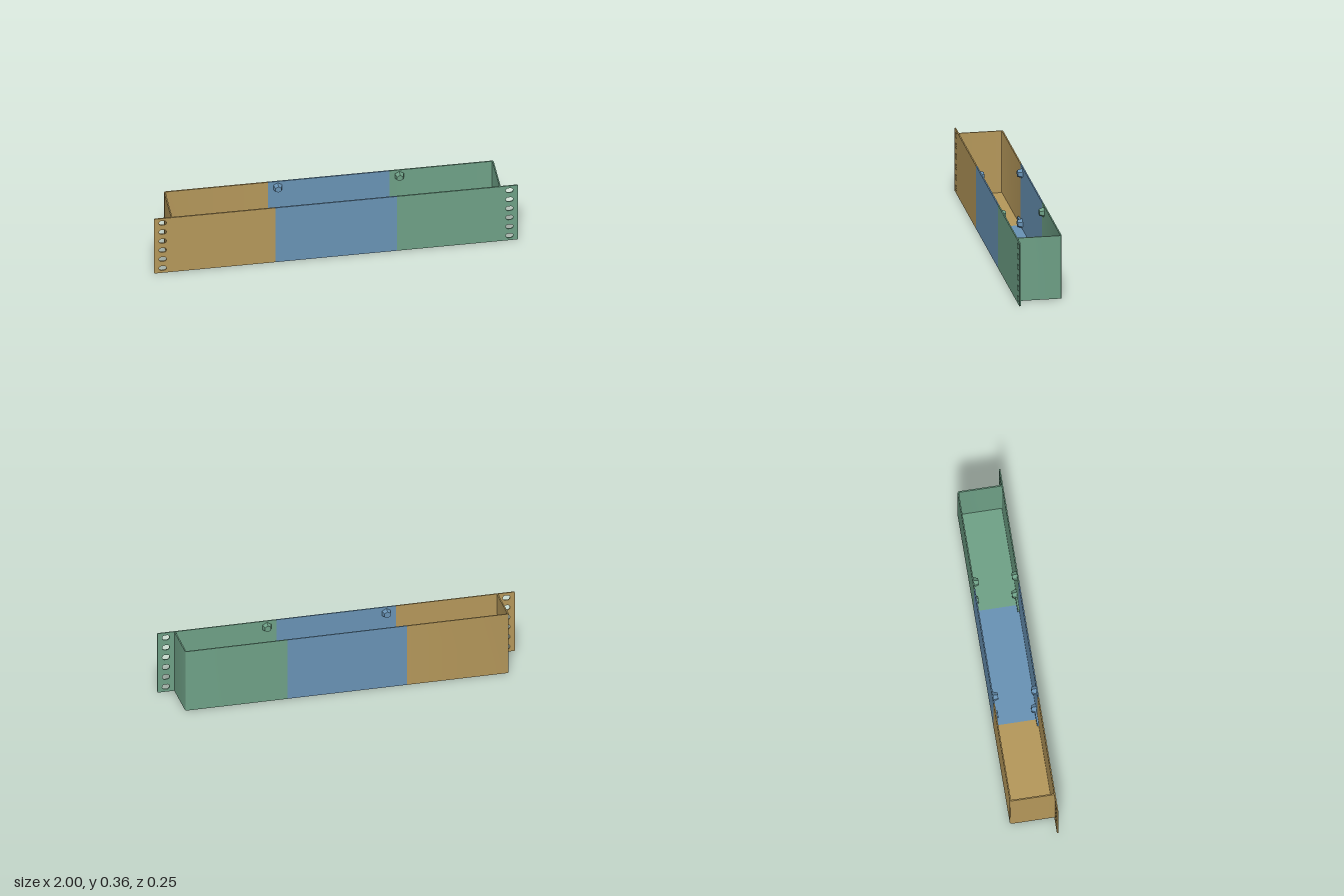
import * as THREE from 'three';
import { toCreasedNormals } from 'three/addons/utils/BufferGeometryUtils.js';

const H = 0.36, T = 0.007, Z = 0.125, BOX = 0.905, SEAM = 0.334, R = 0.012;

const material = (name, color) => {
  const m = new THREE.MeshStandardMaterial({ color });
  m.name = name;
  return m;
};

function add(group, name, geometry, mat, x = 0, y = 0, z = 0) {
  const mesh = new THREE.Mesh(geometry, mat);
  mesh.name = name;
  mesh.position.set(x, y, z);
  group.add(mesh);
  return mesh;
}

// Extrude a plan outline (x, -z) upwards
function extrudeUp(shape, height) {
  const g = new THREE.ExtrudeGeometry(shape, { depth: height, bevelEnabled: false, curveSegments: 6 });
  return toCreasedNormals(g.rotateX(-Math.PI / 2), 0.6);
}

// Flanged front plate with a column of mounting slots
function frontPlate(s) {
  const shape = new THREE.Shape();
  const c = 0.008;
  shape.moveTo(s * SEAM, 0);
  shape.lineTo(s * (1 - c), 0);
  shape.quadraticCurveTo(s, 0, s, c);
  shape.lineTo(s, H - c);
  shape.quadraticCurveTo(s, H, s * (1 - c), H);
  shape.lineTo(s * SEAM, H);
  const r = 0.0145, half = 0.006;
  for (let i = 0; i < 6; i++) {
    const y = 0.03 + i * 0.06, x = s * 0.952;
    const slot = new THREE.Path();
    slot.absarc(x + half, y, r, -Math.PI / 2, Math.PI / 2, false);
    slot.absarc(x - half, y, r, Math.PI / 2, Math.PI * 1.5, false);
    slot.closePath();
    shape.holes.push(slot);
  }
  const g = new THREE.ExtrudeGeometry(shape, { depth: T, bevelEnabled: false, curveSegments: 8 });
  return toCreasedNormals(g, 0.6);
}

// Back wall and side wall in one piece, with a rounded corner
function cornerWall(s) {
  const p = new THREE.Shape();
  const front = -(Z - T), r = R - T;
  p.moveTo(s * SEAM, Z);
  p.lineTo(s * (BOX - R), Z);
  p.quadraticCurveTo(s * BOX, Z, s * BOX, Z - R);
  p.lineTo(s * BOX, front);
  p.lineTo(s * (BOX - T), front);
  p.lineTo(s * (BOX - T), Z - R);
  p.quadraticCurveTo(s * (BOX - T), Z - T, s * (BOX - T - r), Z - T);
  p.lineTo(s * SEAM, Z - T);
  return extrudeUp(p, H);
}

function endFloor(s) {
  const p = new THREE.Shape();
  p.moveTo(s * SEAM, Z);
  p.lineTo(s * (BOX - R), Z);
  p.quadraticCurveTo(s * BOX, Z, s * BOX, Z - R);
  p.lineTo(s * BOX, -(Z - T));
  p.lineTo(s * SEAM, -(Z - T));
  return extrudeUp(p, T);
}

function endSection(name, s, mat) {
  const g = new THREE.Group();
  g.name = name;
  add(g, 'frontPlate', frontPlate(s), mat, 0, 0, Z - T);
  add(g, 'cornerWall', cornerWall(s), mat);
  add(g, 'floor', endFloor(s), mat);
  return g;
}

// Tapered studs and low tongues that join a section to its neighbour
function joiners(group, seam, mat) {
  for (const side of [-1, 1]) {
    const face = side * (Z - T);
    for (const y of [0.037, 0.323]) {
      const stud = new THREE.CylinderGeometry(0.019, 0.028, 0.026, 6).toNonIndexed();
      stud.computeVertexNormals();
      stud.rotateX(-side * Math.PI / 2);
      add(group, 'joiningStud', stud, mat, seam + 0.053, y, face - side * 0.013);
    }
    add(group, 'joiningTongue', new THREE.BoxGeometry(0.1, 0.03, 0.01), mat,
      seam + 0.008, 0.03, face - side * 0.005);
  }
}

export function createModel() {
  const model = new THREE.Group();
  model.name = 'rackTray';
  const tan = material('tan', 0xb4975a);
  const blue = material('blue', 0x6892b4);
  const green = material('green', 0x6ea086);

  const right = endSection('rightSection', -1, tan);
  const left = endSection('leftSection', 1, green);

  // Straight middle section
  const middle = new THREE.Group();
  middle.name = 'middleSection';
  for (const [name, side] of [['frontWall', 1], ['backWall', -1]]) {
    add(middle, name, new THREE.BoxGeometry(SEAM * 2, H, T), blue, 0, H / 2, side * (Z - T / 2));
  }
  add(middle, 'floor', new THREE.BoxGeometry(SEAM * 2, T, 2 * (Z - T)), blue, 0, T / 2, 0);

  joiners(middle, -SEAM, blue);
  joiners(left, SEAM, green);
  model.add(right, middle, left);
  return model;
}
